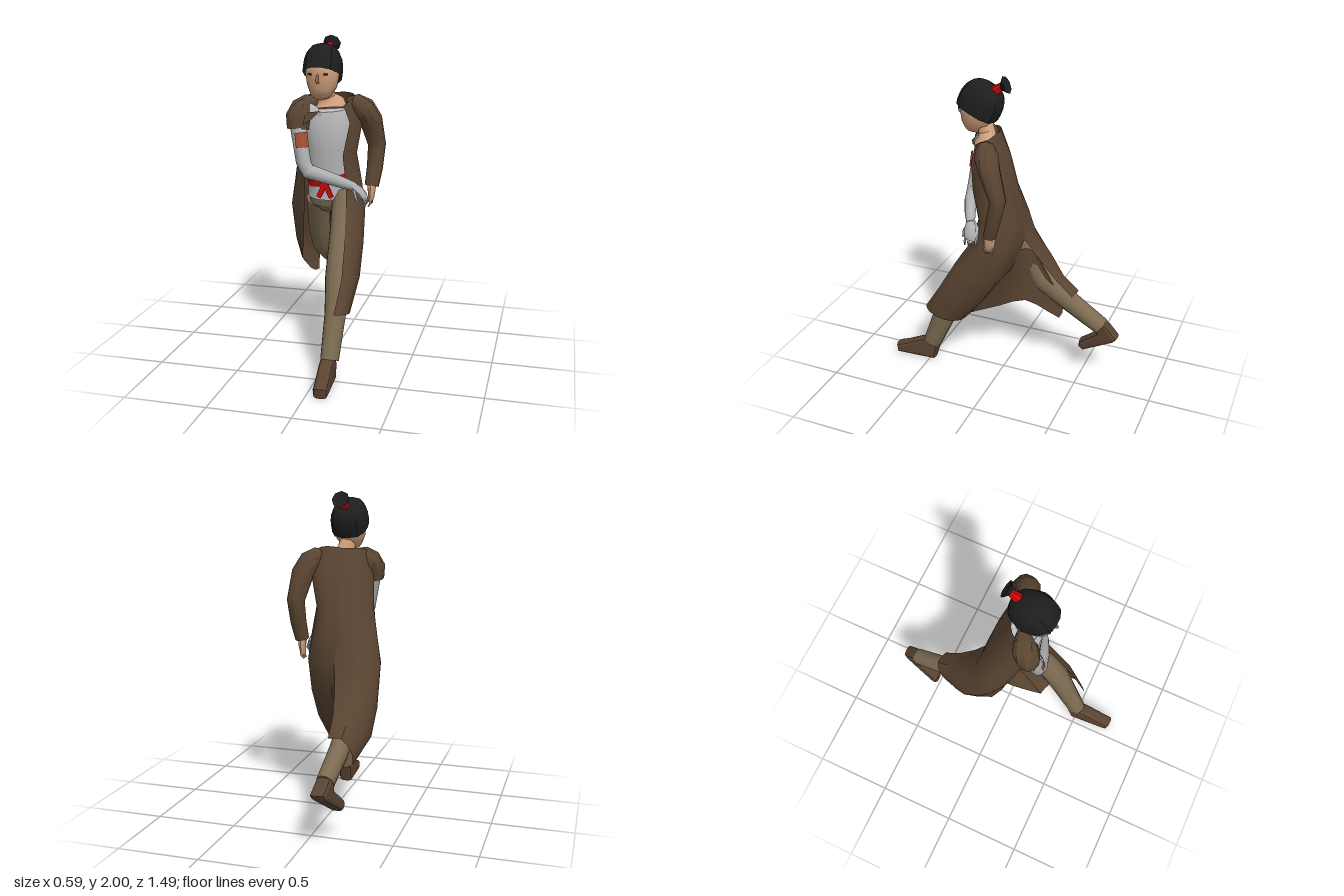
import * as THREE from 'three';
import { toCreasedNormals } from 'three/addons/utils/BufferGeometryUtils.js';

const V = (x, y, z) => new THREE.Vector3(x, y, z);

function material(name, color, double = false) {
  const m = new THREE.MeshStandardMaterial({ color });
  m.name = name;
  if (double) m.side = THREE.DoubleSide;
  return m;
}

function build(positions, index) {
  const g = new THREE.BufferGeometry();
  g.setAttribute('position', new THREE.Float32BufferAttribute(positions, 3));
  g.setIndex(index);
  return toCreasedNormals(g, 0.75);
}

// Closed limb through sections [x, y, z, ru, rv]; ref sets the direction of ru
function limb(sections, ref = V(1, 0, 0), sides = 10) {
  const pts = sections.map(s => V(s[0], s[1], s[2]));
  const pos = [], idx = [], n = pts.length;
  pts.forEach((p, i) => {
    const t = pts[Math.min(i + 1, n - 1)].clone().sub(pts[Math.max(i - 1, 0)]).normalize();
    const u = ref.clone().addScaledVector(t, -ref.dot(t)).normalize();
    const v = t.clone().cross(u);
    const [, , , ru, rv = ru] = sections[i];
    for (let j = 0; j < sides; j++) {
      const a = j / sides * Math.PI * 2;
      const q = p.clone().addScaledVector(u, ru * Math.cos(a)).addScaledVector(v, rv * Math.sin(a));
      pos.push(q.x, q.y, q.z);
    }
  });
  pos.push(...pts[0].toArray(), ...pts[n - 1].toArray());
  for (let j = 0; j < sides; j++) {
    const k = (j + 1) % sides, last = (n - 1) * sides;
    for (let i = 0; i < n - 1; i++) {
      const a = i * sides + j, b = i * sides + k;
      idx.push(a, b, b + sides, a, b + sides, a + sides);
    }
    idx.push(n * sides, k, j, n * sides + 1, last + j, last + k);
  }
  return build(pos, idx);
}

// Open cloth sheet through rows of points, rounded across each row
function cloth(rows, across = 8) {
  const pos = [], idx = [], w = across + 1;
  rows.forEach((row, i) => {
    const curve = new THREE.CatmullRomCurve3(row.map(p => V(...p)));
    for (let j = 0; j <= across; j++) {
      pos.push(...curve.getPoint(j / across).toArray());
      if (i && j) {
        const d = i * w + j, b = d - w;
        idx.push(b - 1, d - 1, d, b - 1, d, b);
      }
    }
  });
  return build(pos, idx);
}

// Shoe from a side outline of [z, y], leaning sideways along z
function shoe(outline, x, lean, zMid) {
  const shape = new THREE.Shape(outline.map(p => new THREE.Vector2(...p)));
  const g = new THREE.ExtrudeGeometry(shape, { depth: 0.04, bevelSize: 0.022, bevelOffset: -0.022, bevelThickness: 0.025, bevelSegments: 2 });
  g.rotateY(-Math.PI / 2).translate(x + 0.02, 0, 0);
  const p = g.attributes.position;
  for (let i = 0; i < p.count; i++) p.setX(i, p.getX(i) + (p.getZ(i) - zMid) * lean);
  g.computeVertexNormals();
  return g;
}

// Boxy hair cap: a partial sphere pushed out towards its corners
function hairCap() {
  const g = new THREE.SphereGeometry(1, 14, 7, 0, Math.PI * 2, 0, Math.PI * .58);
  const p = g.attributes.position, v = V(0, 0, 0);
  for (let i = 0; i < p.count; i++) {
    v.fromBufferAttribute(p, i);
    const k = Math.pow(Math.abs(v.x) ** 2.6 + Math.abs(v.y) ** 2.6 + Math.abs(v.z) ** 2.6, -1 / 2.6);
    p.setXYZ(i, v.x * k, v.y * k, v.z * k);
  }
  g.scale(.111, .146, .137).rotateX(-.45).translate(-.04, 1.812, .168);
  return toCreasedNormals(g, .4);
}

export function createModel() {
  const model = new THREE.Group();
  const coat = material('coat brown', 0x5b4532, true);
  const leather = material('shoe brown', 0x5a4433);
  const trousers = material('trouser tan', 0x7d6c52);
  const shirt = material('shirt grey', 0xbdbdbf, true);
  const metal = material('arm grey', 0xaeb0b2);
  const skin = material('skin', 0xcf9f7b);
  const hair = material('hair black', 0x1d1e1f, true);
  const red = material('red', 0xcc0808, true);
  const patch = material('patch rust', 0xa94f38, true);
  const dark = material('eye dark', 0x2c2422);
  const add = (name, geometry, mat) => {
    const m = new THREE.Mesh(geometry, mat);
    m.name = name;
    model.add(m);
    return m;
  };
  const twist = V(1, 0, -0.3).normalize();

  // Legs in a long stride
  add('leftTrouserLeg', limb([[.06, 1.04, .03, .08], [.08, .8, .18, .08, .09], [.085, .6, .305, .078, .08], [.088, .38, .38, .066, .075], [.08, .13, .485, .057, .062]]), trousers);
  add('rightTrouserLeg', limb([[-.12, 1.0, -.01, .075, .085], [-.145, .8, -.115, .07, .09], [-.15, .64, -.215, .066, .08], [-.145, .51, -.42, .06, .07], [-.13, .39, -.63, .055, .06]]), trousers);
  add('trouserSeat', limb([[-.03, .95, -.02, .09, .07], [-.03, .99, 0, .135, .1], [-.03, 1.06, .01, .14, .1]], twist, 12), trousers);
  add('leftShoe', shoe([[.47, 0], [.74, 0], [.748, .06], [.68, .085], [.56, .14], [.5, .16], [.44, .11]], .075, .06, .5), leather);
  add('rightShoe', shoe([[-.6, .45], [-.67, .42], [-.745, .35], [-.72, .315], [-.51, .18], [-.475, .2], [-.48, .24], [-.6, .34]], -.13, -.2, -.65), leather);

  // Shirt, belt and neck
  add('shirt', limb([[-.03, 1.03, .01, .145, .11], [-.03, 1.14, .03, .135, .1], [-.03, 1.35, .07, .14, .12], [-.03, 1.5, .1, .15, .105], [-.03, 1.575, .11, .12, .085]], twist, 14), shirt);
  add('belt', limb([[-.025, 1.125, .03, .143, .11], [-.034, 1.163, .035, .141, .11]], twist, 14), red);
  for (const [angle, x, y] of [[.45, -.05, 1.09], [-.45, -.02, 1.09], [.9, -.02, 1.14]]) {
    const tail = add('beltKnot', new THREE.BoxGeometry(.03, .12, .009), red);
    tail.position.set(x, y, .152);
    tail.rotation.z = -angle;
  }
  add('neck', limb([[-.01, 1.577, .12, .105, .072], [-.015, 1.62, .11, .085, .06], [-.03, 1.65, .12, .052], [-.04, 1.74, .15, .05]], twist, 12), skin);

  // Head, face and hair
  add('head', limb([[-.04, 1.655, .24, .035, .03], [-.04, 1.675, .225, .062, .07], [-.04, 1.73, .192, .092, .105], [-.04, 1.79, .178, .102, .122], [-.04, 1.85, .17, .088, .115], [-.04, 1.91, .165, .05, .06]], V(1, 0, 0), 12), skin);
  add('nose', limb([[-.04, 1.8, .292, .005], [-.04, 1.757, .302, .01], [-.04, 1.748, .285, .01]], V(1, 0, 0), 6), skin);
  for (const side of [-1, 1]) {
    const eye = add(side < 0 ? 'rightEye' : 'leftEye', new THREE.BoxGeometry(.024, .011, .009), dark);
    eye.position.set(-.04 + side * .048, 1.795, .285);
    eye.rotation.y = side * .45;
  }
  add('hair', hairCap(), hair);
  add('hairTie', limb([[-.035, 1.9, .075, .036], [-.035, 1.95, .018, .02]], V(1, 0, 0), 8), red);
  add('topKnot', limb([[-.03, 1.935, .025, .018], [-.03, 1.955, -.004, .055, .055], [-.03, 1.945, .005, .02]], V(1, 0, 0), 8), hair);

  // Long coat: each half runs from its front edge round to the middle of the back
  add('coatLeftHalf', cloth([
    [[.08, 1.6, .15], [.12, 1.64, .1], [.12, 1.66, .05], [.06, 1.67, .035], [-.03, 1.66, .04]],
    [[.12, 1.5, .16], [.15, 1.5, .11], [.17, 1.5, .03], [.1, 1.5, -.03], [-.04, 1.5, -.03]],
    [[.08, 1.3, .17], [.12, 1.3, .12], [.135, 1.3, .03], [.08, 1.3, -.07], [-.04, 1.3, -.085]],
    [[.09, 1.12, .13], [.14, 1.12, .09], [.16, 1.12, 0], [.09, 1.12, -.1], [-.05, 1.12, -.12]],
    [[.1, .97, .17], [.16, .97, .13], [.19, .97, .03], [.13, .97, -.09], [-.03, .97, -.13]],
    [[.12, .8, .28], [.17, .78, .25], [.2, .76, .12], [.13, .75, -.02], [.01, .77, -.06]],
    [[.13, .6, .395], [.18, .6, .36], [.2, .57, .22], [.12, .54, .11], [.01, .55, .11]],
    [[.11, .42, .51], [.16, .41, .46], [.17, .38, .35], [.09, .35, .27], [-.01, .36, .24]],
  ]), coat);
  add('coatRightHalf', cloth([
    [[-.03, 1.66, .04], [-.11, 1.66, .06], [-.16, 1.65, .11], [-.16, 1.63, .17], [-.12, 1.6, .2]],
    [[-.04, 1.5, -.03], [-.15, 1.5, .02], [-.2, 1.5, .11], [-.19, 1.5, .18], [-.14, 1.5, .215]],
    [[-.04, 1.3, -.085], [-.14, 1.3, -.04], [-.21, 1.3, .05], [-.21, 1.3, .13], [-.16, 1.3, .18]],
    [[-.05, 1.12, -.12], [-.17, 1.12, -.1], [-.255, 1.12, 0], [-.24, 1.12, .08], [-.17, 1.12, .13]],
    [[-.03, .97, -.13], [-.18, .96, -.15], [-.28, .96, -.07], [-.28, .96, .04], [-.18, .98, .1]],
    [[-.06, .83, -.22], [-.19, .82, -.25], [-.28, .75, -.19], [-.29, .7, -.08], [-.21, .72, .03]],
    [[-.08, .69, -.33], [-.18, .68, -.345], [-.26, .6, -.3], [-.285, .55, -.2], [-.23, .58, -.02]],
    [[-.085, .59, -.435], [-.17, .6, -.45], [-.22, .5, -.4], [-.21, .41, -.34], [-.2, .5, -.09]],
  ]), coat);

  // Coat tail joining both halves behind and between the legs
  add('coatTail', cloth([
    [[-.01, .9, -.1], [-.05, .9, -.13], [-.08, .88, -.16], [-.085, .86, -.18], [-.085, .84, -.2]],
    [[.01, .77, -.06], [-.06, .74, -.12], [-.09, .68, -.17], [-.105, .6, -.26], [-.11, .52, -.37]],
    [[.01, .55, .11], [-.06, .57, -.02], [-.085, .56, -.14], [-.1, .5, -.28], [-.105, .45, -.37]],
    [[-.01, .36, .24], [-.06, .43, .05], [-.08, .5, -.12], [-.09, .445, -.27], [-.095, .41, -.35]],
  ]), coat);

  // Collar and folded lapel
  add('shirtCollar', cloth([
    [[-.14, 1.625, .19], [-.1, 1.615, .205], [-.06, 1.595, .21]],
    [[-.14, 1.55, .225], [-.1, 1.55, .23], [-.04, 1.55, .225]],
  ], 2), shirt);
  add('rightLapel', cloth([
    [[-.19, 1.575, .235], [-.12, 1.565, .24], [-.045, 1.575, .23]],
    [[-.18, 1.48, .265], [-.15, 1.49, .255], [-.1, 1.52, .24]],
  ], 2), coat);

  // Left arm, sleeved and bent back
  add('leftSleeve', limb([[.08, 1.615, .07, .03], [.13, 1.605, .06, .06], [.175, 1.57, .035, .075], [.215, 1.5, 0, .065, .07], [.24, 1.34, -.062, .05, .056], [.235, 1.2, -.03, .045, .05], [.222, 1.09, 0, .04, .044]], V(0, 0, 1)), coat);
  add('leftHand', limb([[.222, 1.11, 0, .03], [.222, 1.06, .002, .038, .024], [.22, 1.02, .005, .034, .02], [.215, .99, .01, .02, .012]], V(0, 0, 1), 8), skin);
  for (let i = 0; i < 4; i++) {
    const z = -.02 + i * .016;
    add('leftFinger', limb([[.22, 1.02, z, .009], [.222, .985, z + .004, .008], [.208, .965, z + .008, .005]], V(0, 0, 1), 6), skin);
  }

  // Right arm: short sleeve, bare grey arm crossing the waist
  add('rightSleeve', limb([[-.09, 1.625, .12, .03], [-.13, 1.61, .145, .058], [-.165, 1.575, .17, .076], [-.185, 1.53, .195, .076], [-.185, 1.46, .205, .066]], V(0, 0, 1)), coat);
  add('rightArm', limb([[-.185, 1.5, .21, .05], [-.165, 1.4, .235, .05, .045], [-.14, 1.27, .25, .045], [-.11, 1.215, .25, .045], [-.02, 1.185, .23, .04], [.08, 1.145, .19, .034], [.15, 1.115, .155, .026]], V(0, 0, 1)), metal);
  const band = new THREE.CylinderGeometry(.055, .055, .09, 8, 1, true, -.25, 1.6);
  band.rotateZ(.12).rotateX(-.1);
  add('armPatch', band, patch).position.set(-.165, 1.4, .235);
  add('rightHand', limb([[.13, 1.125, .165, .026], [.175, 1.09, .14, .048, .026], [.205, 1.05, .13, .045, .022], [.215, 1.03, .13, .025, .012]], V(0, 0, 1), 8), metal);
  for (let i = 0; i < 4; i++) {
    const z = .09 + i * .024;
    add('rightFinger', limb([[.2, 1.055, z, .01], [.22, 1.02, z + .004, .008], [.205, .99, z + .01, .005]], V(0, 0, 1), 6), metal);
  }
  add('rightThumb', limb([[.15, 1.1, .175, .012], [.165, 1.06, .195, .01], [.18, 1.03, .195, .006]], V(0, 0, 1), 6), metal);

  return model;
}
